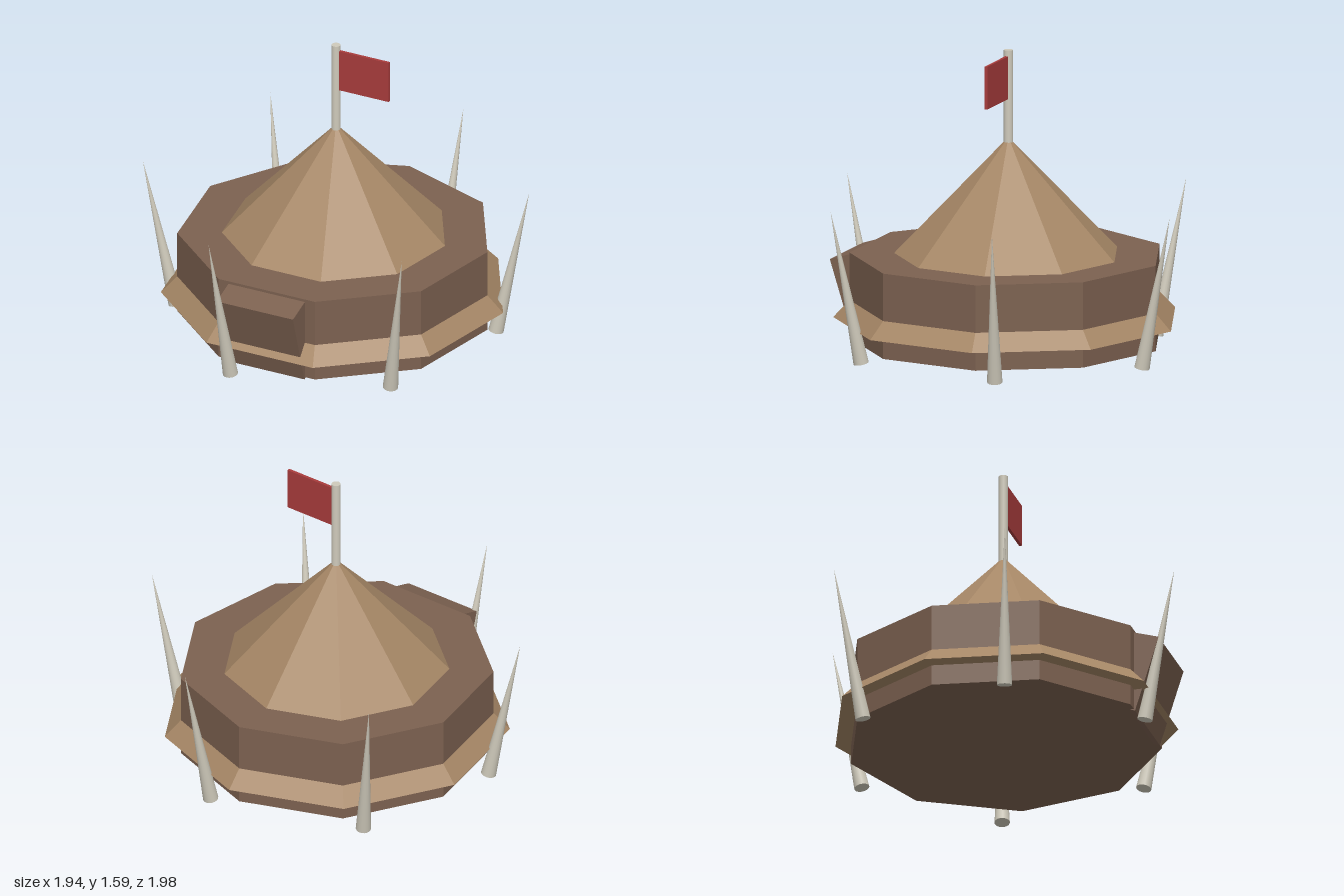
import * as THREE from 'three';

const SIDES = 9;

function material(color, flatShading = true) {
  return new THREE.MeshStandardMaterial({ color, flatShading });
}

export function createModel() {
  const group = new THREE.Group();
  const hide = material(0x7c6150);
  const canvas = material(0xa68766);
  const bone = material(0xcfcabb, false);
  const cloth = material(0xa83c3c);

  function add(name, geometry, mat) {
    const mesh = new THREE.Mesh(geometry, mat);
    mesh.name = name;
    group.add(mesh);
    return mesh;
  }

  // Nine-sided ring or cone between two heights, with a corner at the back
  function tier(name, rTop, rBottom, y0, y1, mat) {
    const geometry = new THREE.CylinderGeometry(rTop, rBottom, y1 - y0, SIDES, 1, false, Math.PI);
    add(name, geometry, mat).position.y = (y0 + y1) / 2;
  }

  tier('wall', 0.82, 0.82, 0.06, 0.51, hide);
  tier('skirt', 0.815, 0.905, 0.17, 0.265, canvas);
  tier('roof', 0.02, 0.59, 0.51, 1.105, canvas);

  // Entrance slab leaning outwards from the front wall
  const lean = 0.305, height = 0.423, depth = 0.15;
  const door = add('entrance', new THREE.BoxGeometry(0.445, height, depth).translate(0, height / 2, -depth / 2), hide);
  door.position.set(0, 0.05, 0.777);
  door.rotation.x = lean;

  // Pole and flag
  add('pole', new THREE.CylinderGeometry(0.024, 0.024, 0.5, 16), bone).position.y = 1.335;
  add('flag', new THREE.BoxGeometry(0.29, 0.225, 0.016), cloth).position.set(0.165, 1.4425, 0);

  // Six tusks around the wall, leaning outwards
  const up = new THREE.Vector3(0, 1, 0);
  for (let i = 0; i < 6; i++) {
    const angle = THREE.MathUtils.degToRad(-17.2 + i * 60);
    const at = (r, y) => new THREE.Vector3(r * Math.cos(angle), y, r * Math.sin(angle));
    const base = at(0.84, 0.008);
    const axis = at(1.014, 0.82).sub(base);
    const length = axis.length();
    const tusk = add('tusk', new THREE.ConeGeometry(0.04, length, 16).translate(0, length / 2, 0), bone);
    tusk.position.copy(base);
    tusk.quaternion.setFromUnitVectors(up, axis.normalize());
  }

  return group;
}
